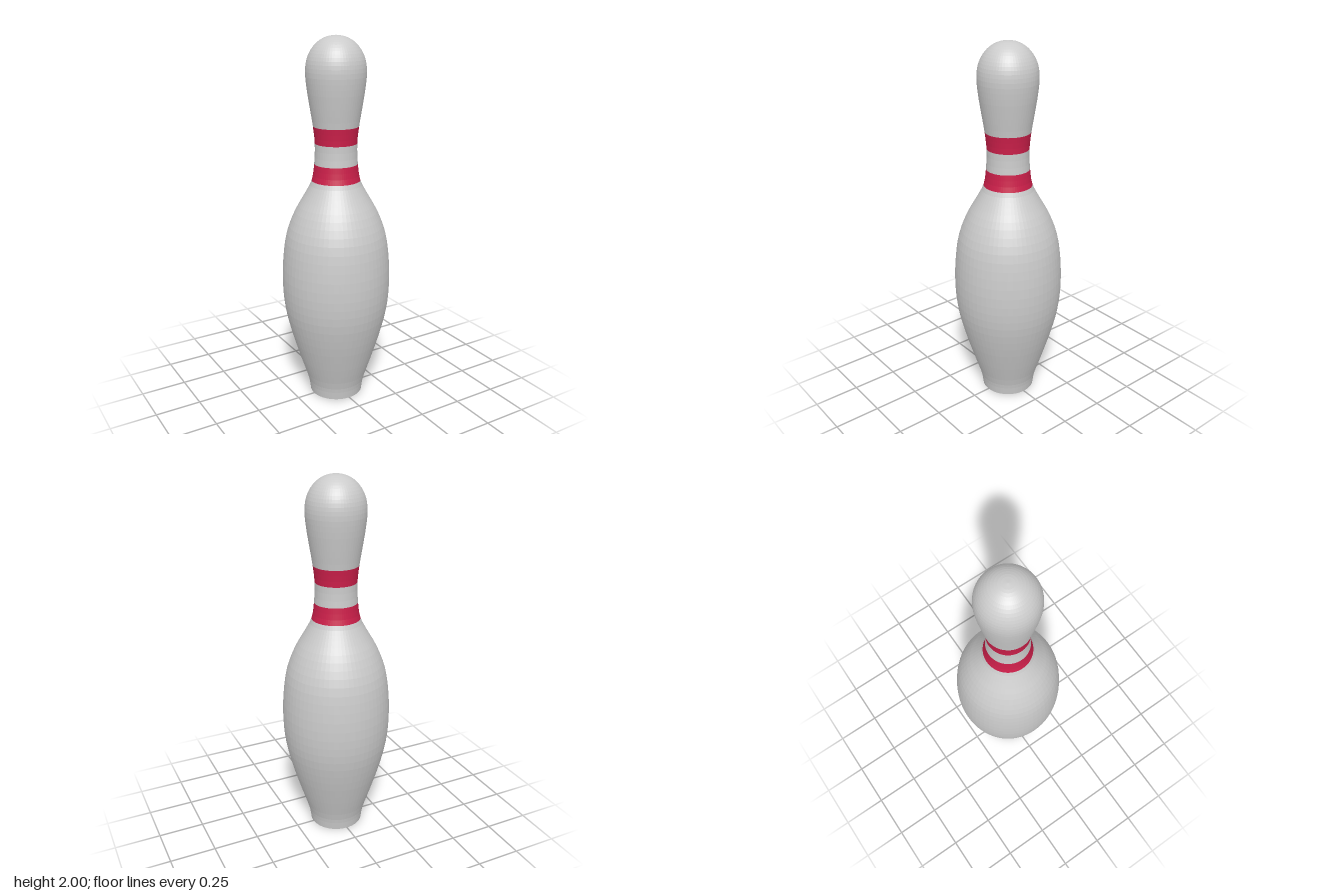
import * as THREE from 'three';

const SIDES = 64;

// Silhouette as [radius, height], from foot to crown
const PROFILE = [
  [0.147, 0], [0.158, 0.07], [0.202, 0.21], [0.25, 0.37], [0.284, 0.52], [0.296, 0.66],
  [0.29, 0.82], [0.268, 0.96], [0.222, 1.08], [0.165, 1.18], [0.13, 1.25],
  [0.116, 1.34], [0.112, 1.45], [0.121, 1.54], [0.137, 1.64], [0.152, 1.74], [0.158, 1.82],
  [0.15, 1.88], [0.127, 1.93], [0.09, 1.97], [0.045, 1.993], [0, 2],
];
const curve = new THREE.CatmullRomCurve3(PROFILE.map(([r, y]) => new THREE.Vector3(r, y, 0)));

// Lathe the stretch of silhouette between two profile points
function section(name, from, to, color, closeFoot = false) {
  const steps = (to - from) * 3;
  const points = closeFoot ? [new THREE.Vector2(0, 0)] : [];
  for (let i = 0; i <= steps; i++) {
    const p = curve.getPoint((from + i / 3) / (PROFILE.length - 1));
    points.push(new THREE.Vector2(Math.max(p.x, 0), p.y));
  }
  const material = new THREE.MeshStandardMaterial({ color, flatShading: true });
  const mesh = new THREE.Mesh(new THREE.LatheGeometry(points, SIDES), material);
  mesh.name = name;
  return mesh;
}

export function createModel() {
  const group = new THREE.Group();
  group.name = 'bowlingPin';
  const grey = 0xcccccc, red = 0xcc1f4a;
  group.add(
    section('belly', 0, 10, grey, true),
    section('lowerStripe', 10, 11, red),
    section('neck', 11, 12, grey),
    section('upperStripe', 12, 13, red),
    section('head', 13, PROFILE.length - 1, grey),
  );
  return group;
}
